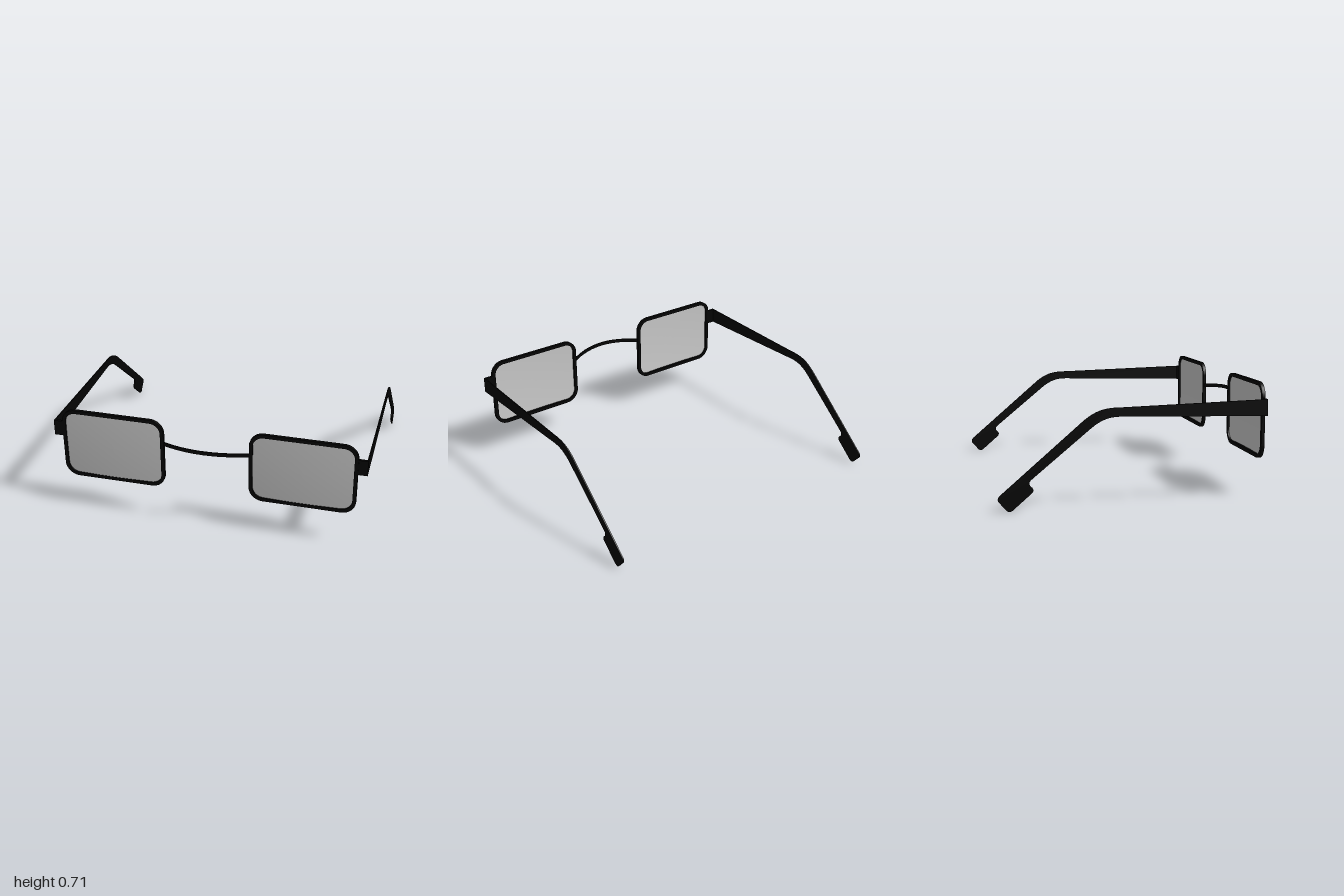
import * as THREE from 'three';
import { ParametricGeometry } from 'three/addons/geometries/ParametricGeometry.js';

const black = new THREE.MeshStandardMaterial({ color: 0x040404 });
const grey = new THREE.MeshStandardMaterial({ color: 0xcccccc, side: THREE.DoubleSide });

// Rounded rectangle centred on the origin
function roundedRect(PathType, w, h, r) {
  const x = w / 2 - r, y = h / 2 - r, p = new PathType();
  p.absarc(x, y, r, 0, Math.PI / 2);
  p.absarc(-x, y, r, Math.PI / 2, Math.PI);
  p.absarc(-x, -y, r, Math.PI, Math.PI * 1.5);
  p.absarc(x, -y, r, Math.PI * 1.5, Math.PI * 2);
  p.closePath();
  return p;
}

function extrude(shape, depth) {
  return new THREE.ExtrudeGeometry(shape, { depth, bevelEnabled: false, curveSegments: 12 });
}

// Side outline of a temple arm, drawn as (z, y)
function templeShape() {
  const s = new THREE.Shape();
  s.moveTo(0.783, 0.624);
  s.lineTo(-0.13, 0.6);
  s.bezierCurveTo(-0.23, 0.602, -0.29, 0.582, -0.363, 0.52);
  s.lineTo(-0.852, 0.1);
  s.quadraticCurveTo(-0.872, 0.08, -0.858, 0.062);
  s.lineTo(-0.815, 0.012);
  s.quadraticCurveTo(-0.797, -0.006, -0.775, 0.012);
  s.lineTo(-0.666, 0.106);
  s.quadraticCurveTo(-0.647, 0.125, -0.66, 0.14);
  s.lineTo(-0.672, 0.152);
  s.quadraticCurveTo(-0.685, 0.17, -0.668, 0.187);
  s.lineTo(-0.317, 0.476);
  s.bezierCurveTo(-0.25, 0.531, -0.2, 0.547, -0.13, 0.546);
  s.lineTo(0.783, 0.521);
  s.closePath();
  return s;
}

export function createModel() {
  const model = new THREE.Group();
  const add = (name, geometry, material, x, y, z) => {
    const mesh = new THREE.Mesh(geometry, material);
    mesh.name = name;
    mesh.position.set(x, y, z);
    model.add(mesh);
  };

  // Rim: rounded rectangle with a rounded opening
  const rimShape = roundedRect(THREE.Shape, 0.67, 0.478, 0.09);
  rimShape.holes.push(roundedRect(THREE.Path, 0.624, 0.432, 0.068));
  const rim = extrude(rimShape, 0.021);

  // Lens: rounded rectangle lying on a very shallow sphere
  const lensEdge = roundedRect(THREE.Path, 0.634, 0.442, 0.072);
  const lens = new ParametricGeometry((u, v, target) => {
    const p = lensEdge.getPointAt(u).multiplyScalar(1 - v);
    target.set(p.x, p.y, -0.1 * p.lengthSq());
  }, 96, 8);
  lens.computeVertexNormals();

  // Temple arm: thin plate turned into the z-y plane
  const temple = extrude(templeShape(), 0.008);
  temple.rotateY(-Math.PI / 2);
  const lug = new THREE.BoxGeometry(0.08, 0.103, 0.016);

  for (const [side, label] of [[1, 'left'], [-1, 'right']]) {
    add(label + 'Rim', rim, black, side * 0.607, 0.476, 0.768);
    add(label + 'Lens', lens, grey, side * 0.607, 0.476, 0.791);
    add(label + 'Lug', lug, black, side * 0.96, 0.5725, 0.776);
    add(label + 'Temple', temple, black, side > 0 ? 1 : -0.992, 0, 0);
  }

  // Bridge: thin strip bowed forwards and slightly upwards
  const halfWidth = 0.28;
  const strip = new THREE.BoxGeometry(2 * halfWidth, 0.024, 0.008, 32, 1, 1);
  const pos = strip.attributes.position;
  for (let i = 0; i < pos.count; i++) {
    const bow = 1 - (pos.getX(i) / halfWidth) ** 2;
    pos.setY(i, pos.getY(i) + 0.02 * bow);
    pos.setZ(i, pos.getZ(i) + 0.08 * bow);
  }
  strip.computeVertexNormals();
  add('bridge', strip, black, 0, 0.553, 0.775);

  return model;
}
